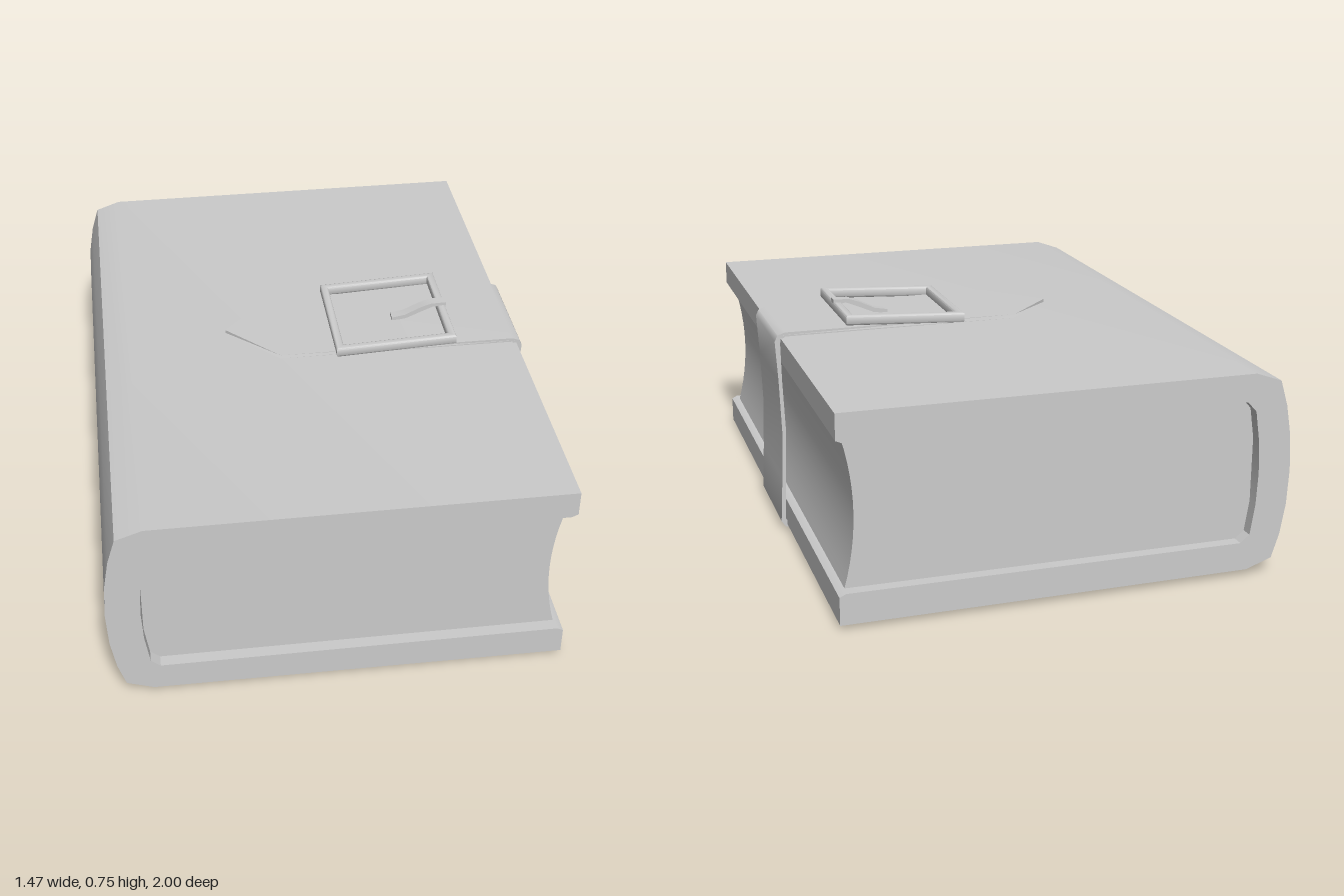
import * as THREE from 'three';
import { toCreasedNormals } from 'three/addons/utils/BufferGeometryUtils.js';

const material = new THREE.MeshStandardMaterial({ color: 0xcccccc, side: THREE.DoubleSide });

function polygon(points) {
  return new THREE.Shape(points.map(([x, y]) => new THREE.Vector2(x, y)));
}

// Extrudes an x-y outline along z, centred on z = 0.
function extrude(shape, depth) {
  const geometry = new THREE.ExtrudeGeometry(shape, { depth, bevelEnabled: false, steps: 1, curveSegments: 12 });
  return geometry.translate(0, 0, -depth / 2);
}

function addMesh(parent, name, geometry, crease = 0.6) {
  const mesh = new THREE.Mesh(toCreasedNormals(geometry, crease), material);
  mesh.name = name;
  parent.add(mesh);
  return mesh;
}

export function createModel() {
  const book = new THREE.Group();
  book.name = 'strappedBook';

  // Cover: two boards joined by a rounded spine
  const cover = polygon([
    [0.715, 0.015], [0.715, 0.105], [0.695, 0.115], [-0.58, 0.115], [-0.61, 0.14], [-0.625, 0.24], [-0.63, 0.345],
    [-0.625, 0.45], [-0.61, 0.55], [-0.58, 0.583], [0.695, 0.583], [0.715, 0.592], [0.715, 0.675],
    [-0.605, 0.673], [-0.69, 0.643], [-0.715, 0.56], [-0.732, 0.46], [-0.738, 0.345],
    [-0.732, 0.23], [-0.715, 0.13], [-0.69, 0.052], [-0.605, 0.022],
  ]);
  addMesh(book, 'cover', extrude(cover, 2));

  // Page block with a hollow fore-edge
  const pages = new THREE.Shape();
  pages.moveTo(-0.625, 0.11);
  pages.lineTo(0.692, 0.11);
  pages.quadraticCurveTo(0.624, 0.35, 0.692, 0.588);
  pages.lineTo(-0.625, 0.588);
  pages.closePath();
  addMesh(book, 'pages', extrude(pages, 1.92));

  // Strap wrapped round the fore-edge, with a pointed upper end
  const halfWidth = 0.18, tipX = -0.27, shoulderX = -0.1;
  const strap = polygon([
    [-0.09, 0], [0.7, 0.003], [0.722, 0.008], [0.735, 0.028], [0.727, 0.18], [0.721, 0.35], [0.727, 0.53],
    [0.735, 0.665], [0.725, 0.685], [0.7, 0.694], [shoulderX, 0.694], [tipX, 0.692],
    [tipX, 0.681], [shoulderX, 0.681], [0.7, 0.68], [0.717, 0.66], [0.715, 0.53],
    [0.708, 0.35], [0.715, 0.18], [0.72, 0.035], [0.7, 0.014], [-0.09, 0.012],
  ]);
  const strapGeometry = extrude(strap, halfWidth * 2);
  const position = strapGeometry.attributes.position;
  for (let i = 0; i < position.count; i++) {
    const x = position.getX(i);
    if (x < shoulderX - 0.001 && position.getY(i) > 0.3) {
      position.setZ(i, position.getZ(i) * (x - tipX) / (shoulderX - tipX));
    }
  }
  addMesh(book, 'strap', strapGeometry, 0.8);

  // Buckle: a rectangular frame tilted up towards the fore-edge
  const buckle = new THREE.Group();
  buckle.name = 'buckle';
  buckle.position.set(0.293, 0.714, 0);
  buckle.rotation.z = 0.05;
  book.add(buckle);

  const frame = polygon([[-0.205, -0.207], [0.205, -0.207], [0.205, 0.207], [-0.205, 0.207]]);
  frame.holes.push(new THREE.Path(
    [[-0.178, -0.182], [-0.178, 0.182], [0.178, 0.182], [0.178, -0.182]].map(([x, y]) => new THREE.Vector2(x, y))));
  const frameGeometry = new THREE.ExtrudeGeometry(frame, {
    depth: 0.022, bevelEnabled: true, bevelThickness: 0.006, bevelSize: 0.006, bevelOffset: -0.006, bevelSegments: 2,
  });
  frameGeometry.translate(0, 0, -0.011).rotateX(-Math.PI / 2);
  addMesh(buckle, 'buckleFrame', frameGeometry, 0.9);

  // Prong rising from the strap and hooking over the frame bar
  const prong = polygon([
    [0.31, 0.69], [0.36, 0.698], [0.42, 0.724], [0.455, 0.738], [0.5, 0.738],
    [0.5, 0.752], [0.445, 0.75], [0.41, 0.738], [0.355, 0.712], [0.31, 0.704],
  ]);
  addMesh(book, 'buckleProng', extrude(prong, 0.034)).position.z = -0.003;

  return book;
}
